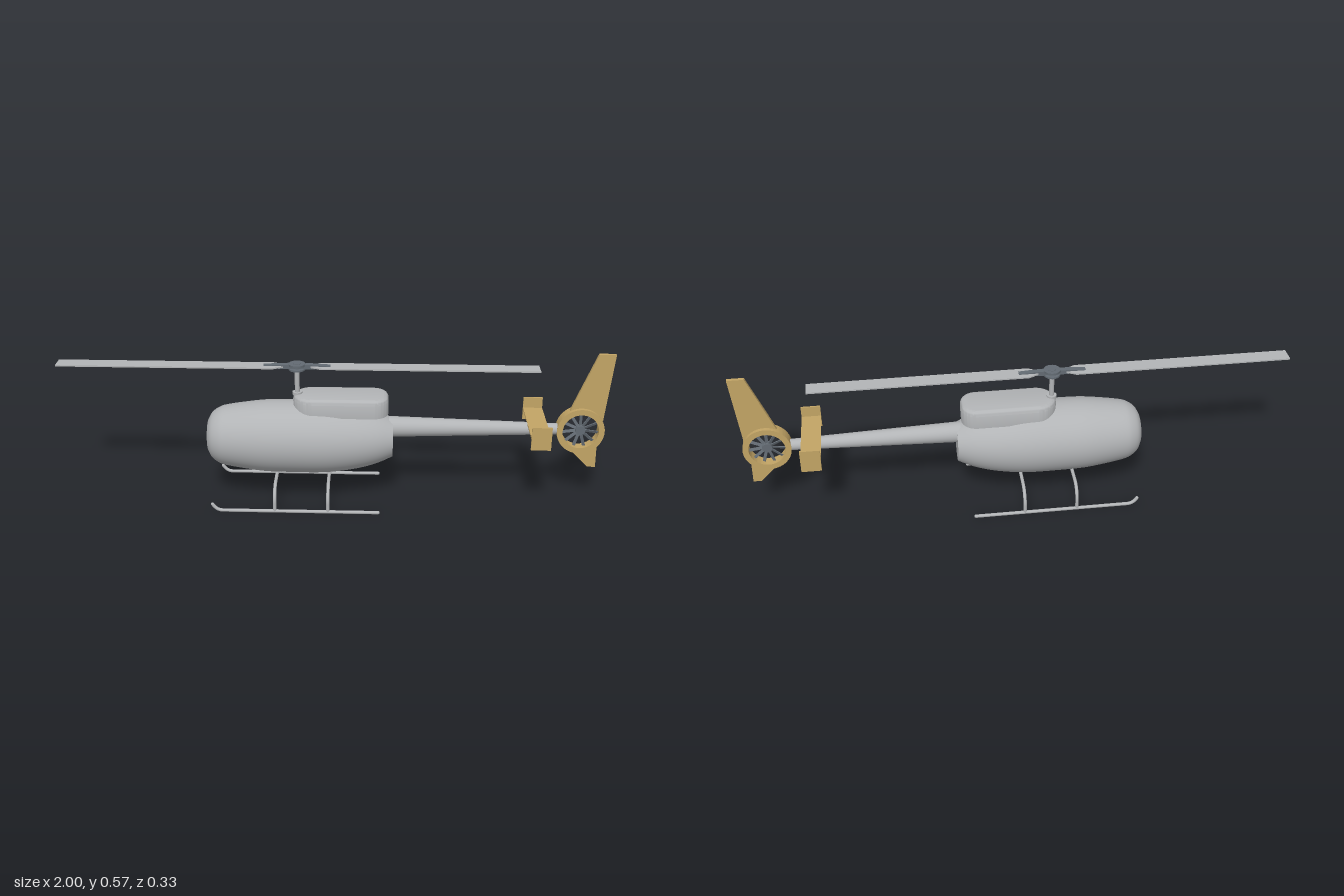
import * as THREE from 'three';
import { toCreasedNormals } from 'three/addons/utils/BufferGeometryUtils.js';

const mat = (name, color) => {
  const m = new THREE.MeshStandardMaterial({ color });
  m.name = name;
  return m;
};

export function createModel() {
  const root = new THREE.Group();
  root.name = 'helicopter';
  const grey = mat('light grey', 0xb2b4b6);
  const gold = mat('gold', 0xc2a465);
  const dark = mat('slate', 0x636b73);

  const add = (name, geo, material, x = 0, y = 0, z = 0, parent = root) => {
    const m = new THREE.Mesh(geo, material);
    m.name = name;
    m.position.set(x, y, z);
    parent.add(m);
    return m;
  };
  const box = (w, h, d) => new THREE.BoxGeometry(w, h, d);
  const cyl = (r1, r2, h, n = 32) => new THREE.CylinderGeometry(r1, r2, h, n);
  // Flat outline in x/y, extruded symmetrically about z = 0
  const plate = (pts, t) => new THREE.ExtrudeGeometry(
    new THREE.Shape(pts.map(p => new THREE.Vector2(...p))), { depth: t, bevelEnabled: false }).translate(0, 0, -t / 2);

  // Fuselage: body of revolution along x, nose at -x
  const curve = new THREE.SplineCurve([
    [0.058, -0.462], [0.085, -0.447], [0.104, -0.42], [0.113, -0.39], [0.124, -0.32], [0.132, -0.25],
    [0.134, -0.17], [0.134, -0.06], [0.129, 0.01], [0.116, 0.09], [0.096, 0.16], [0.071, 0.215],
  ].map(p => new THREE.Vector2(...p)));
  const profile = [new THREE.Vector2(0, -0.467), new THREE.Vector2(0.03, -0.466), ...curve.getPoints(44)];
  add('fuselage', new THREE.LatheGeometry(profile, 64).rotateZ(-Math.PI / 2), grey, 0, 0.236);
  add('fuselageRearCap', new THREE.CircleGeometry(0.071, 48).rotateY(Math.PI / 2), grey, 0.215, 0.236);

  // Engine cowl: rounded plan with softened top edge
  const b = 0.018, x0 = -0.148 + b, x1 = 0.197 - b, w = 0.074 - b, rf = w - 0.002, rr = 0.038;
  const plan = new THREE.Shape();
  plan.moveTo(x0 + rf, -w);
  plan.lineTo(x1 - rr, -w);
  plan.absarc(x1 - rr, -w + rr, rr, -Math.PI / 2, 0);
  plan.absarc(x1 - rr, w - rr, rr, 0, Math.PI / 2);
  plan.lineTo(x0 + rf, w);
  plan.absarc(x0 + rf, w - rf, rf, Math.PI / 2, Math.PI);
  plan.absarc(x0 + rf, -w + rf, rf, Math.PI, Math.PI * 1.5);
  const cowl = new THREE.ExtrudeGeometry(plan, {
    depth: 0.05, bevelThickness: b, bevelSize: b, bevelSegments: 6, curveSegments: 14,
  }).rotateX(-Math.PI / 2);
  // Square off the lower edge so only the top is rounded
  const cp = cowl.attributes.position;
  for (let i = 0; i < cp.count; i++) if (cp.getY(i) < 0) cp.setY(i, 0);
  add('engineCowl', toCreasedNormals(cowl, 0.6), grey, 0, 0.338);

  // Tail boom
  const boom = add('tailBoom', cyl(0.02, 0.038, 0.62), grey, 0.51, 0.279);
  boom.rotation.z = -Math.PI / 2;

  // Tail fan shroud
  const tail = new THREE.Group();
  tail.name = 'tailFan';
  tail.position.set(0.894, 0.277, 0);
  root.add(tail);
  const ring = new THREE.Shape().absarc(0, 0, 0.086, 0, Math.PI * 2);
  ring.holes.push(new THREE.Path().absarc(0, 0, 0.065, 0, Math.PI * 2, true));
  add('fanShroud', toCreasedNormals(new THREE.ExtrudeGeometry(ring, {
    depth: 0.041, bevelEnabled: false, curveSegments: 48,
  }).translate(0, 0, -0.0205), 0.6), gold, 0, 0, 0, tail);
  add('fanHub', cyl(0.018, 0.018, 0.022).rotateX(Math.PI / 2), dark, 0, 0, 0, tail);
  const bladeGeo = box(0.011, 0.052, 0.003).rotateY(0.45).translate(0, 0.04, 0);
  for (let i = 0; i < 11; i++) {
    add('fanBlade', bladeGeo, dark, 0, 0, 0, tail).rotation.z = i / 11 * Math.PI * 2;
  }

  // Fins above and below the shroud
  add('upperFin', plate([[0.846, 0.337], [0.877, 0.359], [0.91, 0.359], [0.973, 0.315],
    [0.998, 0.57], [0.938, 0.57]], 0.013), gold);
  add('lowerFin', plate([[0.858, 0.203], [0.932, 0.13], [0.961, 0.13], [0.959, 0.228],
    [0.93, 0.203], [0.894, 0.195]], 0.011), gold);

  // Horizontal stabilizer and end plates
  add('stabilizer', box(0.071, 0.006, 0.274), gold, 0.737, 0.3);
  for (const s of [-1, 1]) add('endPlate', box(0.071, 0.087, 0.006), gold, 0.737, 0.3, s * 0.137);

  // Main rotor
  const rotor = new THREE.Group();
  rotor.name = 'mainRotor';
  rotor.position.set(-0.133, 0, 0);
  root.add(rotor);
  add('mast', cyl(0.009, 0.009, 0.14), grey, 0, 0.435, 0, rotor);
  add('mastCollar', cyl(0.018, 0.018, 0.01), grey, 0, 0.407, 0, rotor);
  add('rotorHub', cyl(0.03, 0.03, 0.008), dark, 0, 0.516, 0, rotor);
  add('rotorHubLower', cyl(0.03, 0.03, 0.006), dark, 0, 0.5, 0, rotor);
  add('hubCore', cyl(0.014, 0.014, 0.025), dark, 0, 0.509, 0, rotor);
  const grip = plate([[0.01, -0.009], [0.055, -0.008], [0.12, -0.004],
    [0.12, 0.004], [0.055, 0.008], [0.01, 0.009]], 0.02);
  const blade = new THREE.ExtrudeGeometry(new THREE.Shape([[0.05, -0.012], [0.085, -0.029],
    [0.867, -0.029], [0.867, 0.029], [0.085, 0.029], [0.05, 0.012]].map(p => new THREE.Vector2(...p))),
  { depth: 0.005, bevelEnabled: false }).rotateX(-Math.PI / 2).translate(0, -0.0025, 0);
  for (const a of [0, Math.PI]) {
    add('bladeGrip', grip, dark, 0, 0.51, 0, rotor).rotation.y = a;
    add('rotorBlade', blade, grey, 0, 0.51, 0, rotor).rotation.y = a;
  }

  // Landing skids with upturned toes, closed by round ends
  const V = (x, y, z) => new THREE.Vector3(x, y, z);
  const r = 0.0062, zs = 0.159;
  const ball = new THREE.SphereGeometry(r, 14, 10);
  for (const s of [-1, 1]) {
    const path = new THREE.CurvePath();
    path.add(new THREE.LineCurve3(V(0.165, r, s * zs), V(-0.4, r, s * zs)));
    path.add(new THREE.QuadraticBezierCurve3(V(-0.4, r, s * zs), V(-0.422, r, s * zs), V(-0.436, 0.03, s * zs)));
    add('skid', new THREE.TubeGeometry(path, 90, r, 14), grey);
    add('skidEnd', ball, grey, 0.165, r, s * zs);
    add('skidEnd', ball, grey, -0.436, 0.03, s * zs);
  }

  // Arched cross tubes
  const top = 0.094, c = 0.056, k = 0.552 * c;
  for (const x of [-0.21, -0.017]) {
    const path = new THREE.CurvePath();
    path.add(new THREE.LineCurve3(V(x, r, -zs), V(x, top - c, -zs)));
    path.add(new THREE.CubicBezierCurve3(V(x, top - c, -zs), V(x, top - c + k, -zs),
      V(x, top, -zs + c - k), V(x, top, -zs + c)));
    path.add(new THREE.LineCurve3(V(x, top, -zs + c), V(x, top, zs - c)));
    path.add(new THREE.CubicBezierCurve3(V(x, top, zs - c), V(x, top, zs - c + k),
      V(x, top - c + k, zs), V(x, top - c, zs)));
    path.add(new THREE.LineCurve3(V(x, top - c, zs), V(x, r, zs)));
    add('crossTube', new THREE.TubeGeometry(path, 100, r, 14), grey);
    add('crossTubeSaddle', box(0.02, 0.02, 0.06), grey, x, 0.108);
  }
  return root;
}
